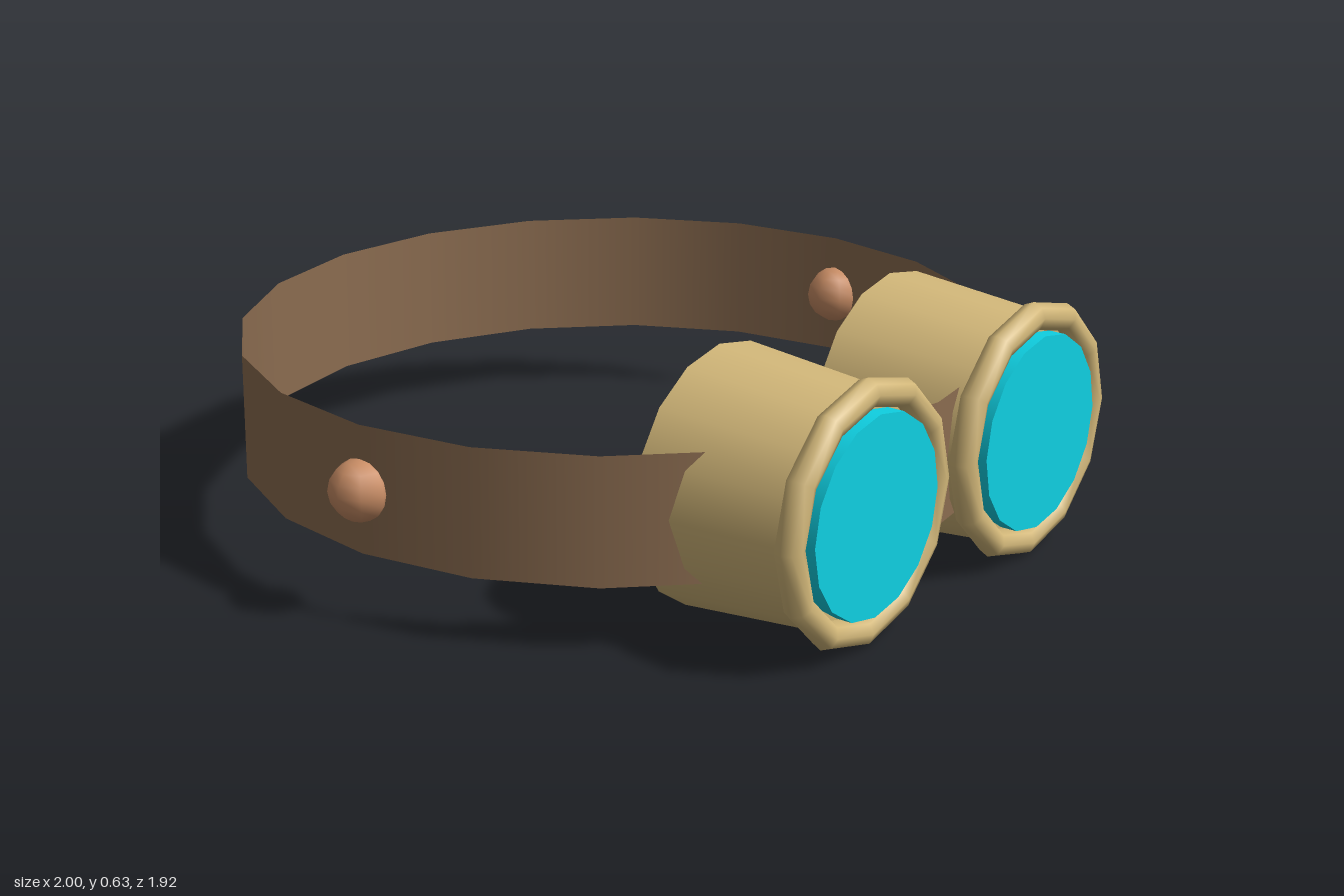
import * as THREE from 'three';

const mat = (color, side = THREE.FrontSide) => new THREE.MeshStandardMaterial({ color, side });

export function createModel() {
  const group = new THREE.Group();
  group.name = 'goggles';
  const brass = mat(0xd2b779);
  const copper = mat(0xc98d65);
  const glass = mat(0x0fd0e2);
  const leather = mat(0x8b6c50, THREE.DoubleSide);
  const midY = 0.318, strapZ = -0.035;

  const add = (name, geometry, material, x, y, z) => {
    const mesh = new THREE.Mesh(geometry, material);
    mesh.name = name;
    mesh.position.set(x, y, z);
    group.add(mesh);
  };

  // Cylinder lying along z, from zBack to zFront
  const barrel = (rFront, rBack, zBack, zFront) =>
    new THREE.CylinderGeometry(rFront, rBack, zFront - zBack, 16)
      .rotateX(Math.PI / 2)
      .translate(0, 0, (zBack + zFront) / 2);

  // Thin head strap
  add('strap', new THREE.CylinderGeometry(0.923, 0.923, 0.308, 20, 1, true), leather, 0, 0.32, strapZ);

  // Bridge between the eyepieces
  add('bridge', new THREE.BoxGeometry(0.2, 0.15, 0.18), brass, 0, midY, 0.765);

  for (const [side, s] of [['left', 1], ['right', -1]]) {
    const x = s * 0.34;
    add(side + 'Eyepiece', barrel(0.275, 0.308, 0.523, 0.915), brass, x, midY, 0);
    add(side + 'Rim', new THREE.TorusGeometry(0.28, 0.034, 8, 12), brass, x, midY, 0.922);
    add(side + 'Lens', barrel(0.238, 0.238, 0.87, 0.958), glass, x, midY, 0);
    // Rivet on the strap
    add(side + 'Rivet', new THREE.SphereGeometry(0.073, 8, 8), copper, s * 0.925, 0.32, strapZ);
  }
  return group;
}
